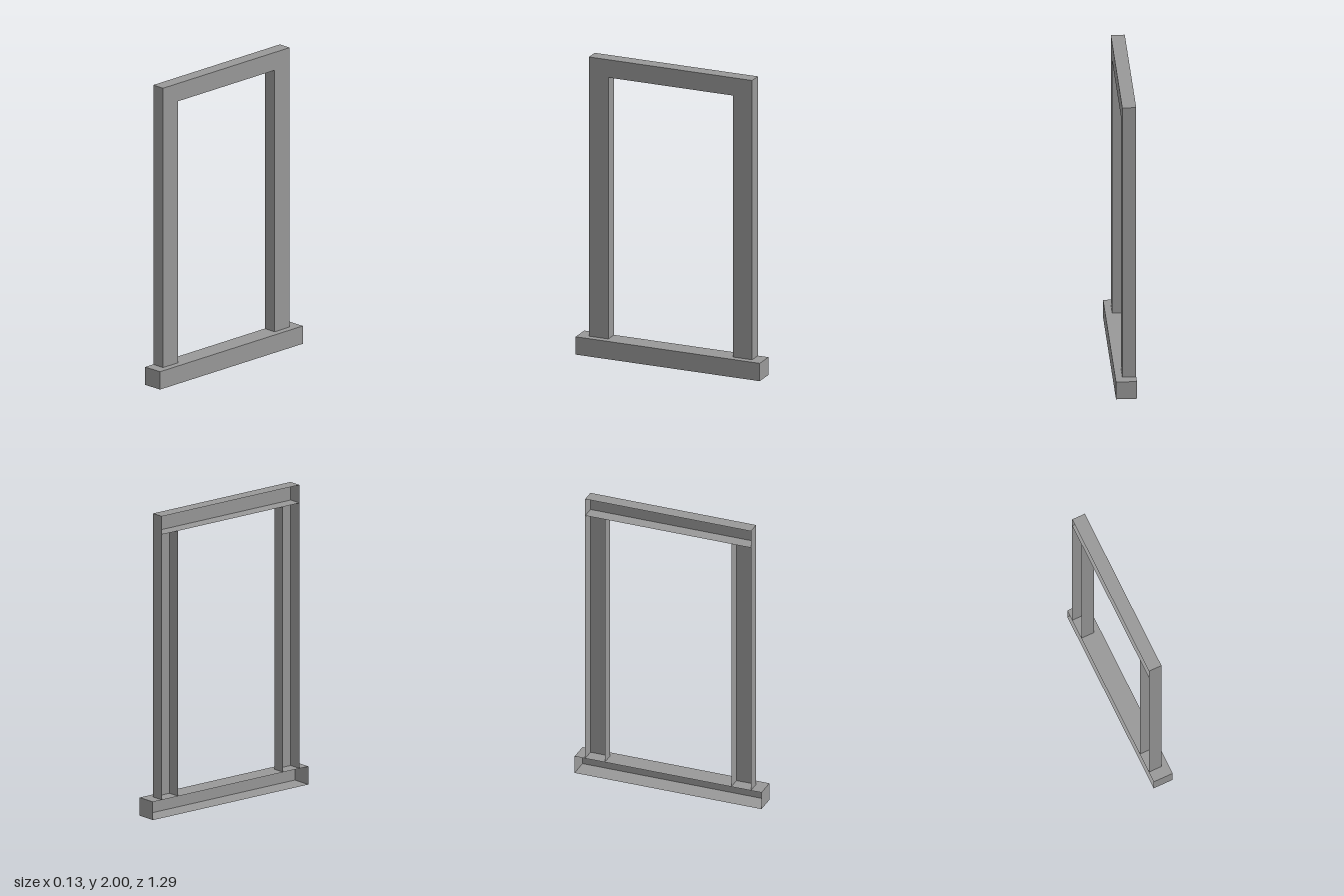
import * as THREE from 'three';

// Face order of a BoxGeometry: +x, -x, +y, -y, +z, -z
const BACK = 1, TOP = 2, BOTTOM = 3;

// Thin-walled box between two corners, with the listed faces left open
function shell(name, material, min, max, open) {
  const size = max.map((v, i) => v - min[i]);
  const geometry = new THREE.BoxGeometry(...size);
  const index = Array.from(geometry.index.array);
  geometry.setIndex(index.filter((_, i) => !open.includes(Math.floor(i / 6))));
  geometry.clearGroups();
  const mesh = new THREE.Mesh(geometry, material);
  mesh.name = name;
  mesh.position.set(...max.map((v, i) => (v + min[i]) / 2));
  return mesh;
}

export function createModel() {
  const group = new THREE.Group();
  group.name = 'windowFrame';
  const trim = new THREE.MeshStandardMaterial({ color: 0x999999, side: THREE.DoubleSide });
  trim.name = 'trimGrey';

  const back = -0.067, front = 0.022, sillFront = 0.067;
  const sillTop = 0.12, lintelBottom = 1.88;
  const outer = 0.57, inner = 0.435, sillHalf = 0.643;

  // Sill, wider and deeper than the frame, open at the wall side
  group.add(shell('sill', trim, [back, 0, -sillHalf], [sillFront, sillTop, sillHalf], [BACK]));

  // Lintel across the top
  group.add(shell('lintel', trim, [back, lintelBottom, -outer], [front, 2, outer], [BACK]));

  // Side jambs between sill and lintel
  for (const [name, z0, z1] of [['frontJamb', inner, outer], ['rearJamb', -outer, -inner]]) {
    group.add(shell(name, trim, [back, sillTop, z0], [front, lintelBottom, z1], [BACK, TOP, BOTTOM]));
  }
  return group;
}
